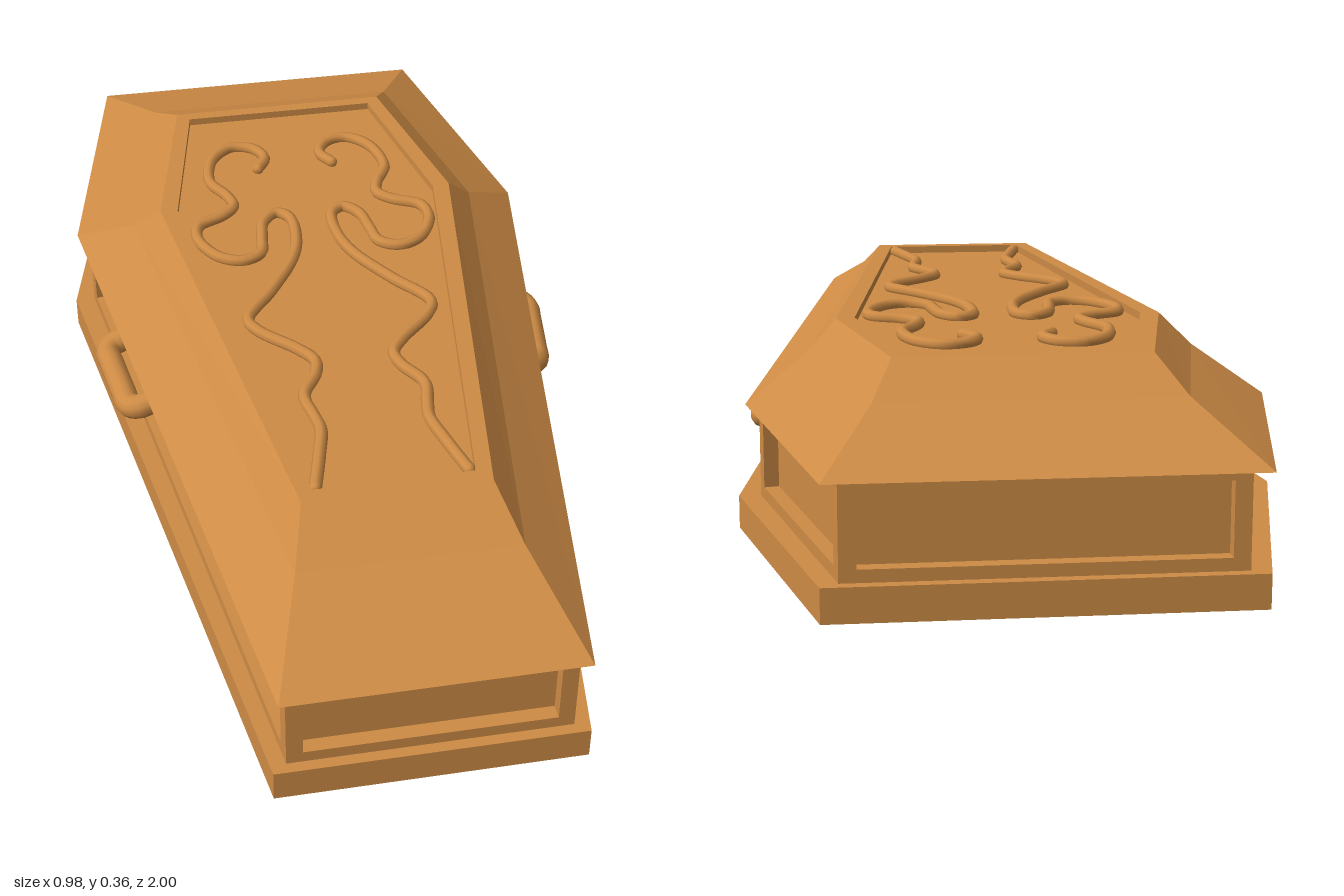
import * as THREE from 'three';

const wood = new THREE.MeshStandardMaterial({ color: 0xcd8b45, side: THREE.DoubleSide });

function part(name, geometry, parent) {
  const mesh = new THREE.Mesh(geometry, wood);
  mesh.name = name;
  parent.add(mesh);
  return mesh;
}

// Six-sided outline: half widths at front, shoulder and back, with their z
const outline = ([f, m, b, zf, zm, zb]) =>
  [[f, zf], [m, zm], [b, zb], [-b, zb], [-m, zm], [-f, zf]];

// Flat-faced solid through stacked outlines, closed at both ends
function loft(levels) {
  const rings = levels.map(([y, ...o]) => outline(o).map(([x, z]) => [x, y, z]));
  const pos = [];
  const tri = (...p) => p.forEach((v) => pos.push(...v));
  for (let r = 0; r < rings.length - 1; r++) {
    const a = rings[r], b = rings[r + 1];
    for (let i = 0; i < 6; i++) {
      const j = (i + 1) % 6;
      tri(a[i], a[j], b[j]);
      tri(a[i], b[j], b[i]);
    }
  }
  const low = rings[0], top = rings[rings.length - 1];
  for (let i = 1; i < 5; i++) {
    tri(low[0], low[i + 1], low[i]);
    tri(top[0], top[i], top[i + 1]);
  }
  const g = new THREE.BufferGeometry();
  g.setAttribute('position', new THREE.Float32BufferAttribute(pos, 3));
  g.computeVertexNormals();
  return g;
}

// Tube with rounded ends along a smooth path
function roundedTube(name, points, segments, radius, sides, parent) {
  const path = new THREE.CatmullRomCurve3(points);
  part(name, new THREE.TubeGeometry(path, segments, radius, sides), parent);
  for (const p of [points[0], points[points.length - 1]]) {
    part(name + 'End', new THREE.SphereGeometry(radius, sides, 6), parent).position.copy(p);
  }
}

// Framed wall with a sunken panel, local x along the wall and z outward
function wall([px, pz], [qx, qz]) {
  const g = new THREE.Group();
  g.name = 'sideWall';
  const w = Math.hypot(qx - px, qz - pz), h = 0.17, depth = 0.027;
  const x = w / 2, ix = x - 0.029;
  const frame = new THREE.Shape([[-x, 0], [x, 0], [x, h], [-x, h]].map((p) => new THREE.Vector2(...p)));
  frame.holes.push(new THREE.Path([[-ix, 0.022], [-ix, 0.15], [ix, 0.15], [ix, 0.022]].map((p) => new THREE.Vector2(...p))));
  const geo = new THREE.ExtrudeGeometry(frame, { depth, bevelEnabled: false });
  part('wallFrame', geo.translate(0, 0, -depth), g);
  part('wallPanel', new THREE.BoxGeometry(ix * 2 + 0.004, h, 0.01), g).position.set(0, h / 2, -depth - 0.005);
  g.position.set((px + qx) / 2, 0.06, (pz + qz) / 2);
  g.rotation.y = Math.atan2(pz - qz, qx - px);
  return g;
}

// U-shaped carrying handle, sloping down from the wall
function handle() {
  const g = new THREE.Group();
  g.name = 'handle';
  const half = [[0.11, 0.1, -0.03], [0.11, 0.092, 0], [0.108, 0.085, 0.022], [0.09, 0.08, 0.037], [0.05, 0.08, 0.038]];
  const pts = half.map(([x, y, z]) => new THREE.Vector3(-x, y, z))
    .concat(half.slice().reverse().map((p) => new THREE.Vector3(...p)));
  roundedTube('handleBar', pts, 40, 0.025, 12, g);
  return g;
}

export function createModel() {
  const model = new THREE.Group();
  model.name = 'coffin';

  // Plinth
  const foot = [0.275, 0.49, 0.36, 0.99, -0.42, -0.985];
  part('base', loft([[0, ...foot], [0.06, ...foot]]), model);

  // Panelled walls, with handles on the two long ones
  const corners = outline([0.25, 0.45, 0.33, 0.97, -0.42, -0.965]);
  corners.forEach((p, i) => {
    const side = wall(p, corners[(i + 1) % 6]);
    if (i === 0 || i === 4) {
      const grip = handle();
      grip.position.x = i === 0 ? 0.308 : -0.308;
      side.add(grip);
    }
    model.add(side);
  });

  // Sloping lid with a sunken top
  const inner = [0.145, 0.27, 0.2, 0.63, -0.28, -0.64];
  part('lid', loft([
    [0.23, 0.265, 0.475, 0.358, 1, -0.42, -1],
    [0.306, 0.2, 0.36, 0.265, 0.775, -0.325, -0.775],
    [0.36, 0.17, 0.305, 0.225, 0.66, -0.285, -0.665],
    [0.36, ...inner],
    [0.345, ...inner],
  ]), model);

  // Mirrored scroll ornaments on the lid
  const scroll = [
    [0.08, -0.425], [0.06, -0.465], [0.08, -0.507], [0.125, -0.52], [0.17, -0.48], [0.188, -0.39],
    [0.16, -0.33], [0.152, -0.29], [0.18, -0.258], [0.232, -0.228], [0.24, -0.18], [0.205, -0.11],
    [0.16, -0.09], [0.122, -0.11], [0.112, -0.16], [0.1, -0.22], [0.07, -0.25], [0.045, -0.23],
    [0.043, -0.15], [0.062, -0.08], [0.12, 0.02], [0.18, 0.11], [0.165, 0.15], [0.1, 0.22],
    [0.075, 0.26], [0.082, 0.3], [0.113, 0.36], [0.105, 0.42], [0.1, 0.46], [0.115, 0.53], [0.137, 0.615],
  ];
  for (const s of [-1, 1]) {
    const pts = scroll.map(([x, z]) => new THREE.Vector3(s * x, 0.351, z));
    roundedTube('lidScroll', pts, 160, 0.012, 8, model);
  }
  return model;
}
